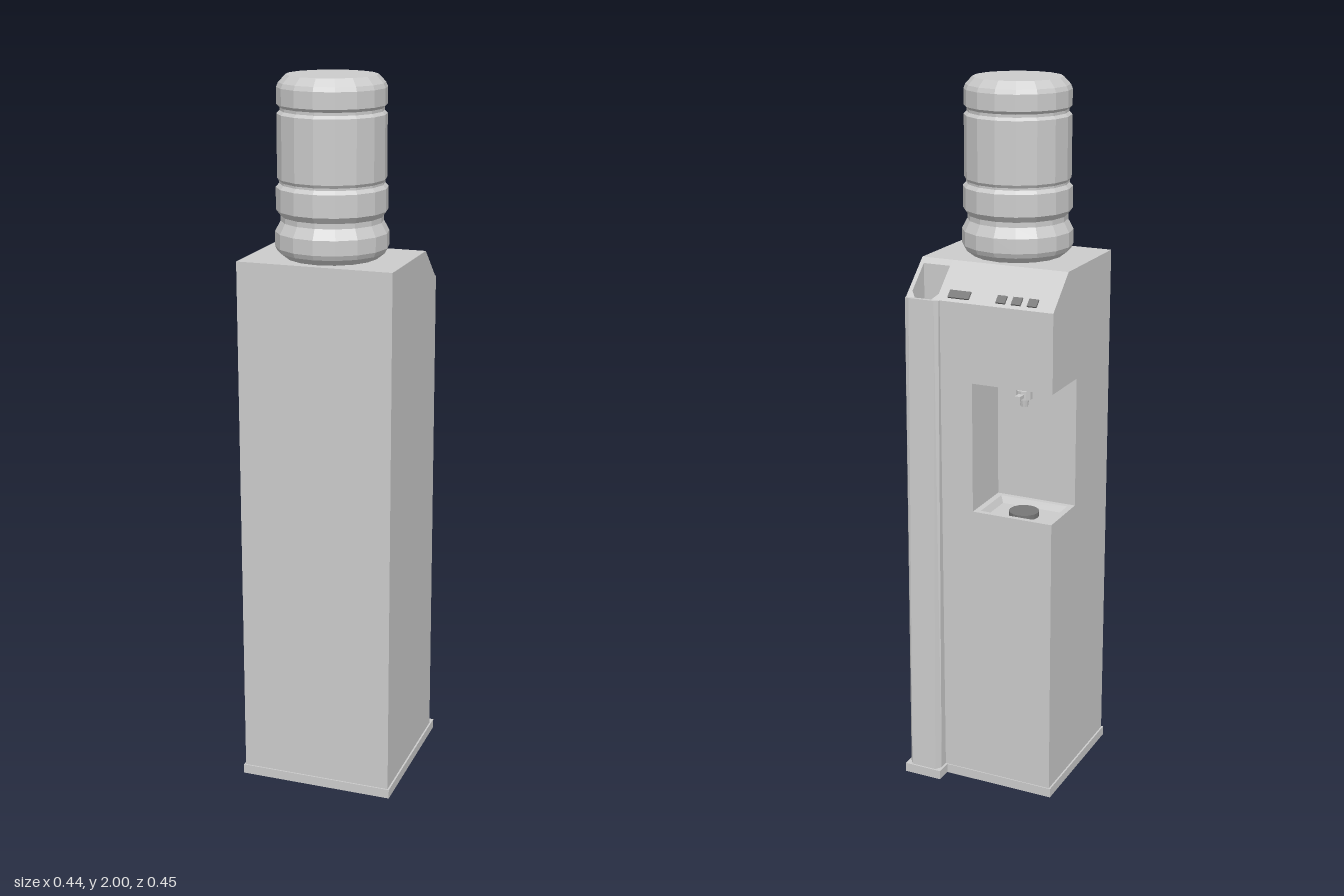
import * as THREE from 'three';

const grey = new THREE.MeshStandardMaterial({ color: 0xcccccc, flatShading: true });
const sheet = new THREE.MeshStandardMaterial({ color: 0xcccccc, flatShading: true, side: THREE.DoubleSide });
const dark = new THREE.MeshStandardMaterial({ color: 0x777777, flatShading: true });

// Main dimensions
const W = 0.217, FRONT = 0.22, BACK = -0.178, FOOT = 0.027, TOP = 1.52, LIP = 1.43, EDGE = -0.08;
const NICHE = { x: 0.02, z: -0.015, y0: 0.84, y1: 1.21 };
const slopeY = z => TOP - (EDGE - z) / (EDGE - BACK) * (TOP - LIP);

function mesh(name, geometry, material = grey, x = 0, y = 0, z = 0) {
  const m = new THREE.Mesh(geometry, material);
  m.name = name;
  m.position.set(x, y, z);
  return m;
}

// Flat faces from fans of [x, y, z] corners
function faces(polys) {
  const pos = [];
  for (const p of polys)
    for (let i = 1; i < p.length - 1; i++) pos.push(...p[0], ...p[i], ...p[i + 1]);
  const g = new THREE.BufferGeometry();
  g.setAttribute('position', new THREE.Float32BufferAttribute(pos, 3));
  g.computeVertexNormals();
  return g;
}

// Sweep an open [z, y] line from x0 to x1
const strip = (line, x0, x1) => line.slice(1).map((q, i) => {
  const p = line[i];
  return [[x0, p[1], p[0]], [x1, p[1], p[0]], [x1, q[1], q[0]], [x0, q[1], q[0]]];
});

// Upright flat panel from [z, y] points, facing +x (1) or -x (-1)
function panel(points, x, facing) {
  const shape = new THREE.Shape(points.map(([z, y]) => new THREE.Vector2(-facing * z, y)));
  return new THREE.ShapeGeometry(shape).rotateY(facing * Math.PI / 2).translate(x, 0, 0);
}

const planShape = pts => new THREE.Shape(pts.map(([x, z]) => new THREE.Vector2(x, -z)));
const extrudePlan = (pts, depth) =>
  new THREE.ExtrudeGeometry(planShape(pts), { depth, bevelEnabled: false }).rotateX(-Math.PI / 2);

// Inward walls and floor of a pocket between two plan outlines
function pocket(rim, floor, topY, floorY) {
  const at = (p, y) => [p[0], typeof y === 'function' ? y(p[1]) : y, p[1]];
  const walls = rim.map((a, i) => {
    const j = (i + 1) % rim.length;
    return [at(a, topY), at(rim[j], topY), at(floor[j], floorY), at(floor[i], floorY)];
  });
  return faces([...walls, floor.map(p => at(p, floorY))]);
}

const rect = (x0, x1, z0, z1) => [[x0, z1], [x1, z1], [x1, z0], [x0, z0]];

function makeCabinet() {
  const g = new THREE.Group();
  g.name = 'cabinet';
  const roof = [[FRONT, FOOT], [FRONT, TOP], [EDGE, TOP]];
  const full = [...roof, [BACK, LIP], [BACK, FOOT]];
  const upper = [...roof, [BACK, LIP], [BACK, NICHE.y1], [NICHE.z, NICHE.y1], [NICHE.z, NICHE.y0]];
  const lower = [[BACK, NICHE.y0], [BACK, FOOT]];

  // Cup well plan, with two cut corners
  const c0 = 0.125, c1 = 0.205, cz = -0.095, k = 0.015;
  const well = [[c0, cz], [c1, cz], [c1, BACK + k], [c1 - k, BACK], [c0 + k, BACK], [c0, BACK + k]];
  const corner = (x, s) => {
    const t = [[x, slopeY(BACK + k), BACK + k], [x + s * k, LIP, BACK], [x, LIP, BACK]];
    return s > 0 ? t : t.reverse();
  };

  g.add(mesh('cabinetShell', faces([
    ...strip(upper, -W, NICHE.x), ...strip(lower, -W, NICHE.x),
    ...strip(full, NICHE.x, c0), ...strip(full, c1, W),
    ...strip([...roof, [cz, slopeY(cz)]], c0, c1),
    corner(c0, 1), corner(c1, -1),
  ]), sheet));
  g.add(mesh('plainSide', panel(full, W, 1), sheet));
  g.add(mesh('openSide', panel([...upper, ...lower], -W, -1), sheet));
  g.add(mesh('nicheWall', panel([[BACK, NICHE.y0], [NICHE.z, NICHE.y0],
    [NICHE.z, NICHE.y1], [BACK, NICHE.y1]], NICHE.x, -1), sheet));
  g.add(mesh('cupWell', pocket(well, well, slopeY, 1.33), sheet));

  // Niche floor with a sunken drip tray
  const rim = rect(-0.2, 0.003, -0.163, -0.03);
  const floor = planShape(rect(-W, NICHE.x, BACK, NICHE.z));
  floor.holes.push(new THREE.Path(rim.map(([x, z]) => new THREE.Vector2(x, -z))));
  g.add(mesh('nicheFloor', new THREE.ShapeGeometry(floor).rotateX(-Math.PI / 2).translate(0, NICHE.y0, 0), sheet));
  g.add(mesh('dripTray', pocket(rim, rect(-0.19, -0.007, -0.153, -0.04), NICHE.y0, NICHE.y0 - 0.018), sheet));
  g.add(mesh('drainDisc', new THREE.CylinderGeometry(0.042, 0.042, 0.014, 16), dark, -0.1, NICHE.y0 - 0.011, -0.1));
  return g;
}

function makeTap() {
  const g = new THREE.Group();
  g.name = 'tap';
  g.add(mesh('tapNeck', new THREE.CylinderGeometry(0.014, 0.014, 0.025, 10), grey, 0, -0.0125, 0));
  g.add(mesh('tapBody', new THREE.CylinderGeometry(0.022, 0.022, 0.025, 10), grey, 0, -0.035, 0));
  g.add(mesh('tapNozzle', new THREE.CylinderGeometry(0.013, 0.01, 0.022, 10), grey, 0, -0.058, 0));
  g.add(mesh('tapLever', new THREE.BoxGeometry(0.016, 0.01, 0.03), grey, 0, -0.035, -0.03));
  g.position.set(-0.1, NICHE.y1, -0.1);
  return g;
}

function makeBottle() {
  const profile = [
    [0, 1.52], [0.125, 1.52], [0.147, 1.537], [0.153, 1.55], [0.153, 1.59], [0.138, 1.618], [0.138, 1.632],
    [0.15, 1.648], [0.15, 1.708], [0.141, 1.718], [0.141, 1.724], [0.146, 1.732], [0.146, 1.9],
    [0.138, 1.908], [0.138, 1.916], [0.146, 1.924], [0.146, 1.968], [0.141, 1.98], [0.122, 2], [0, 2],
  ].map(([r, y]) => new THREE.Vector2(r, y));
  return mesh('waterBottle', new THREE.LatheGeometry(profile, 16), grey, 0, 0, 0.07);
}

// Cup tube housing, leaning back towards its top
function makeCupColumn() {
  const h = LIP - FOOT;
  const geo = extrudePlan([[0.115, BACK], [0.115, -0.205], [0.127, -0.222],
    [0.203, -0.222], [W, -0.202], [W, BACK]], h);
  const p = geo.attributes.position;
  for (let i = 0; i < p.count; i++) {
    const taper = 1 - 0.73 * p.getY(i) / h;
    p.setZ(i, BACK + (p.getZ(i) - BACK) * taper);
  }
  geo.computeVertexNormals();
  return mesh('cupColumn', geo, grey, 0, FOOT, 0);
}

export function createModel() {
  const model = new THREE.Group();
  model.name = 'waterDispenser';
  model.add(makeCabinet(), makeTap(), makeBottle(), makeCupColumn());

  // Plinth, stepping out under the cup column
  model.add(mesh('plinth', extrudePlan([[-0.222, -0.181], [0.109, -0.181], [0.109, -0.227],
    [0.222, -0.227], [0.222, 0.224], [-0.222, 0.224]], FOOT)));

  // Buttons and display on the sloping panel
  const tilt = Math.atan2(TOP - LIP, EDGE - BACK);
  const z = -0.161;
  for (const [name, x, w] of [['button', -0.152, 0.027], ['button', -0.106, 0.027],
    ['button', -0.061, 0.027], ['display', 0.063, 0.062]]) {
    const b = mesh(name, new THREE.BoxGeometry(w, 0.01, 0.024), dark, x, slopeY(z), z);
    b.rotation.x = -tilt;
    model.add(b);
  }
  return model;
}
